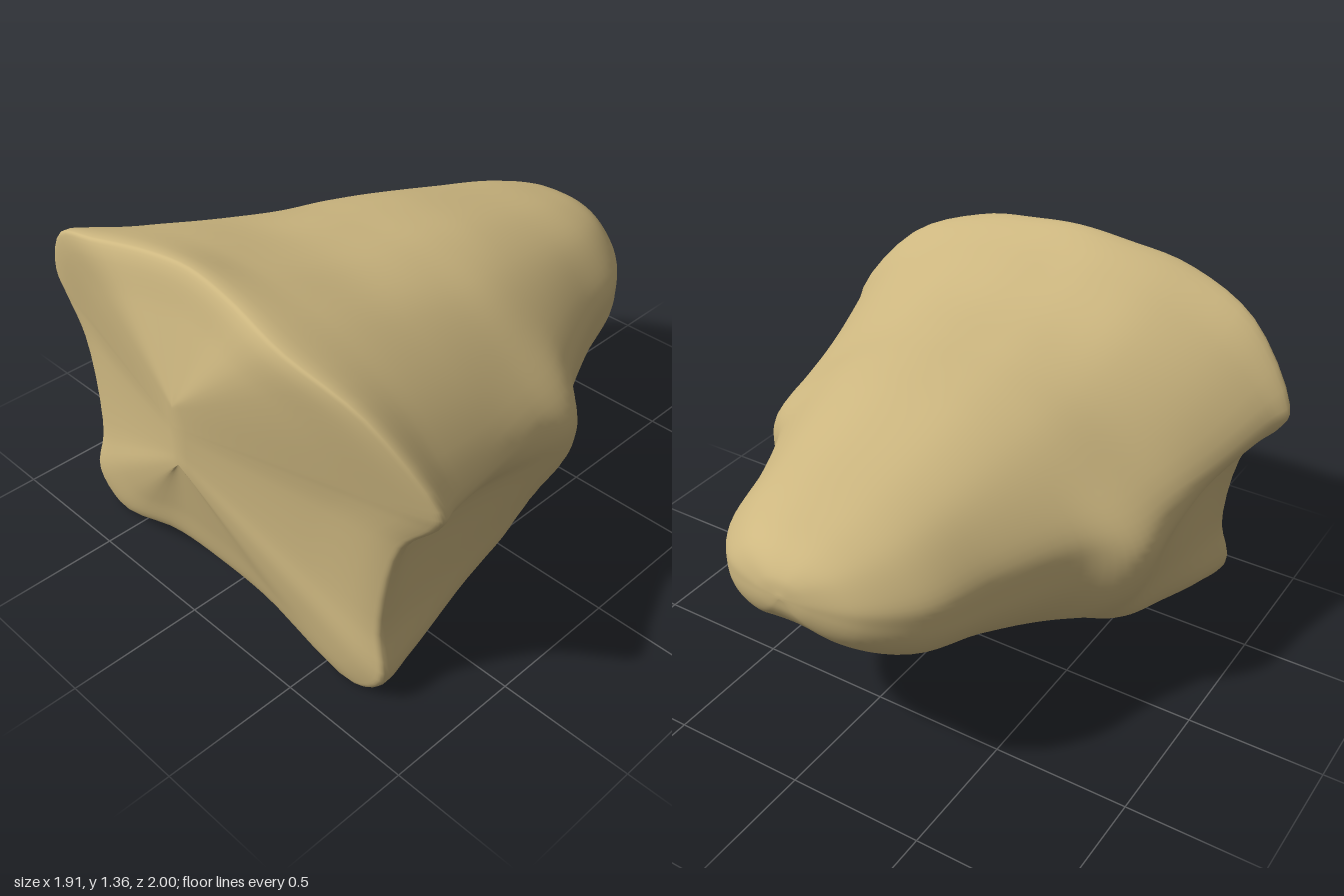
import * as THREE from 'three';
import { mergeVertices } from 'three/addons/utils/BufferGeometryUtils.js';

const AROUND = 96, PER_SPAN = 6;

// Half outline (x, y pairs) from top centre, over the lip, round the foot, to bottom centre
function section(z, xy) {
  const pts = [];
  for (let i = 0; i < xy.length; i += 2) pts.push(new THREE.Vector3(xy[i], xy[i + 1], z));
  return pts;
}

// Mirror a half outline into a closed smooth ring and sample it
function ring(half) {
  const other = half.slice(1, -1).reverse().map(p => new THREE.Vector3(-p.x, p.y, p.z));
  const curve = new THREE.CatmullRomCurve3([...half, ...other], true, 'centripetal');
  return Array.from({ length: AROUND }, (_, j) => curve.getPoint(j / AROUND));
}

function bodyGeometry() {
  const neck = section(-0.5, [0, 1.045, .17, 1.03, .32, .97, .43, .87, .5, .76, .505, .67,
    .495, .59, .46, .52, .39, .46, .29, .425, .15, .44, 0, .45]);
  // Rounded rear knob: shrunken copies of the neck outline
  const knob = (z, sx, sy, cy) => neck.map(p => new THREE.Vector3(p.x * sx, cy + (p.y - .73) * sy, z));
  const halves = [
    knob(-0.985, .22, .22, .775), knob(-0.92, .54, .48, .76), knob(-0.76, .82, .76, .735), neck,
    section(-0.22, [0, 1.115, .19, 1.1, .37, 1.03, .53, .9, .63, .77, .645, .67,
      .63, .56, .58, .46, .5, .38, .37, .34, .18, .41, 0, .44]),
    section(-0.05, [0, 1.145, .2, 1.13, .4, 1.06, .6, .91, .75, .77, .795, .68,
      .785, .57, .73, .45, .62, .34, .46, .285, .2, .37, 0, .4]),
    section(0.15, [0, 1.17, .2, 1.16, .42, 1.09, .64, .94, .79, .79, .81, .7,
      .785, .6, .74, .42, .68, .25, .52, .17, .22, .29, 0, .34]),
    section(0.4, [0, 1.21, .2, 1.2, .44, 1.15, .7, .99, .845, .81, .83, .74,
      .76, .63, .725, .37, .7, .17, .58, .085, .25, .22, 0, .27]),
    section(0.68, [0, 1.285, .2, 1.28, .45, 1.23, .74, 1.08, .92, .865, .885, .78,
      .765, .66, .725, .3, .74, .1, .62, .025, .25, .155, 0, .19]),
  ];
  // Front rim, swept back at the sides
  const rim = section(0, [0, 1.355, .2, 1.335, .45, 1.285, .75, 1.16, .955, .88, .925, .81,
    .805, .67, .735, .3, .765, .1, .64, 0, .25, .12, 0, .15]);
  [.88, .89, .915, .86, .775, .77, .785, .81, .83, .835, .85, .86].forEach((z, i) => { rim[i].z = z; });
  halves.push(rim);

  // Front face sloping up to a short vertical central ridge
  const crest = p => new THREE.Vector3(0, .79 + (p.y - .75) * .18, 1);
  for (const t of [.05, .35, .7]) {
    halves.push(rim.map(p => {
      const q = p.clone().lerp(crest(p), t);
      q.z += .015 * (1 - t);
      return q;
    }));
  }
  const rings = [...halves, rim.map(crest)].map(ring);
  const tail = new THREE.Vector3(0, .78, -1);

  // Smooth lengthwise curves through the rings
  const rows = rings.length * PER_SPAN;
  const pos = [], index = [];
  for (let j = 0; j < AROUND; j++) {
    const curve = new THREE.CatmullRomCurve3([tail, ...rings.map(r => r[j])], false, 'centripetal');
    for (let i = 0; i <= rows; i++) {
      const p = curve.getPoint(i / rows);
      pos.push(p.x, p.y, p.z);
    }
  }
  for (let j = 0; j < AROUND; j++) {
    for (let i = 0; i < rows; i++) {
      const a = j * (rows + 1) + i, b = ((j + 1) % AROUND) * (rows + 1) + i;
      if (i > 0) index.push(a, a + 1, b);
      index.push(b, a + 1, b + 1);
    }
  }
  let g = new THREE.BufferGeometry();
  g.setAttribute('position', new THREE.Float32BufferAttribute(pos, 3));
  g.setIndex(index);
  g = mergeVertices(g, 1e-5);
  g.computeVertexNormals();
  return g;
}

export function createModel() {
  const group = new THREE.Group();
  const bone = new THREE.MeshStandardMaterial({ color: 0xcdb780 });
  bone.name = 'bone tan';
  const body = new THREE.Mesh(bodyGeometry(), bone);
  body.name = 'boneBody';
  group.add(body);
  return group;
}
